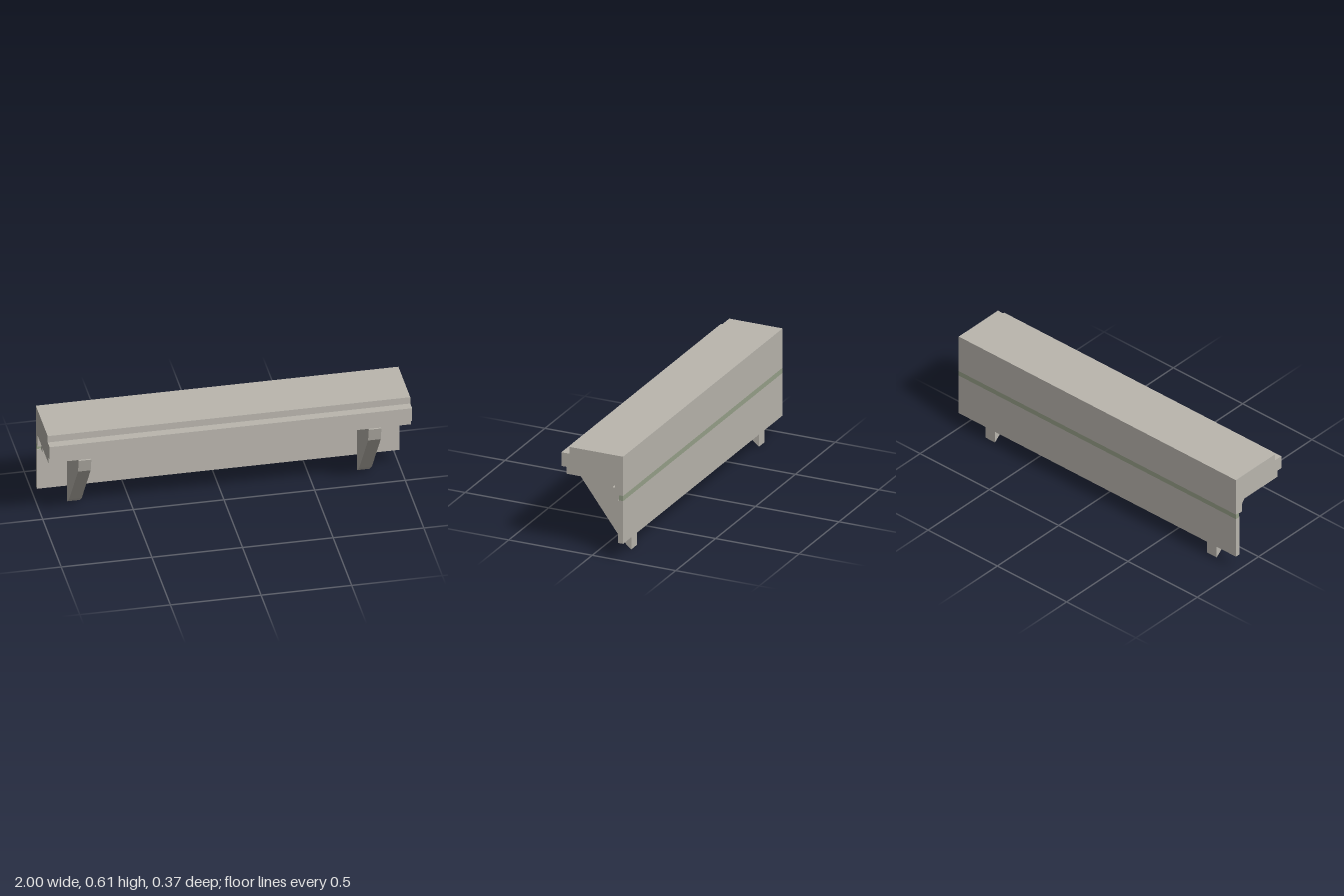
import * as THREE from 'three';

const stone = new THREE.MeshStandardMaterial({ color: 0xbab6ae });
stone.name = 'stone';
const greenBand = new THREE.MeshStandardMaterial({ color: 0x98a28a });
greenBand.name = 'paleGreen';

// Extrude a [z, y] profile along x, centred on the given x
function extrudeAlongX(name, profile, width, x, material) {
  const shape = new THREE.Shape(profile.map(([z, y]) => new THREE.Vector2(z, y)));
  const geometry = new THREE.ExtrudeGeometry(shape, { depth: width, bevelEnabled: false });
  geometry.translate(0, 0, -width / 2).rotateY(-Math.PI / 2);
  const mesh = new THREE.Mesh(geometry, material);
  mesh.name = name;
  mesh.position.x = x;
  return mesh;
}

// Box given by its z and y ranges
function slab(name, width, [z0, z1], [y0, y1], x, material) {
  const mesh = new THREE.Mesh(new THREE.BoxGeometry(width, y1 - y0, z1 - z0), material);
  mesh.name = name;
  mesh.position.set(x, (y0 + y1) / 2, (z0 + z1) / 2);
  return mesh;
}

export function createModel() {
  const model = new THREE.Group();
  model.name = 'bracketedCornice';

  // Stepped cornice with its back leg
  model.add(extrudeAlongX('cornice', [
    [-0.185, 0.38], [-0.135, 0.38], [-0.135, 0.45], [0.155, 0.45], [0.155, 0.49],
    [0.185, 0.49], [0.185, 0.57], [0.135, 0.57], [0.135, 0.61], [-0.185, 0.61],
  ], 2, 0, stone));

  // Coloured band and frieze board below
  model.add(slab('band', 2, [-0.185, -0.16], [0.35, 0.38], 0, greenBand));
  model.add(slab('friezeBoard', 2, [-0.185, -0.155], [0.1, 0.35], 0, stone));

  // Row of dentils
  const dentils = new THREE.Group();
  dentils.name = 'dentils';
  const count = 22;
  const pitch = 2 / count;
  for (let i = 0; i < count; i++) {
    const x = -1 + pitch * (i + 0.5);
    dentils.add(slab('dentil', pitch / 2, [-0.16, -0.11], [0.35, 0.41], x, stone));
  }
  model.add(dentils);

  // Pair of tapering brackets
  for (const side of [-1, 1]) {
    model.add(extrudeAlongX(side > 0 ? 'leftBracket' : 'rightBracket', [
      [-0.155, 0], [-0.095, 0.05], [0.145, 0.37], [0.165, 0.45], [-0.155, 0.45],
    ], 0.07, side * 0.8, stone));
  }
  return model;
}
